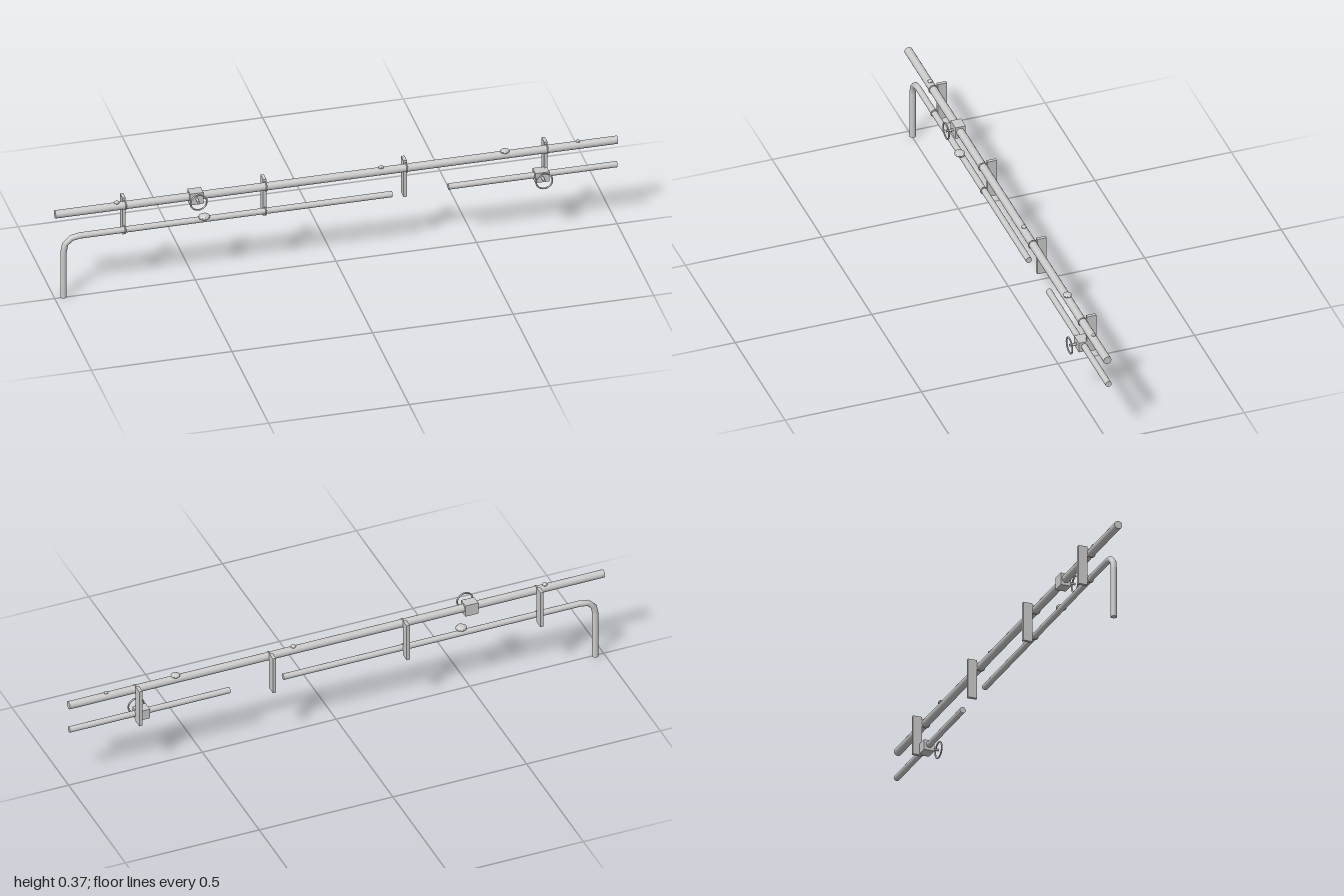
import * as THREE from 'three';

const metal = new THREE.MeshStandardMaterial({ color: 0xcccccc });
const lump = new THREE.MeshStandardMaterial({ color: 0xcccccc, flatShading: true });

const UPPER = { y: 0.337, z: 0.001, r: 0.0145 };
const LOWER = { y: 0.237, z: -0.003, r: 0.011 };

export function createModel() {
  const model = new THREE.Group();

  function add(parent, name, geometry, x, y, z, material = metal) {
    const mesh = new THREE.Mesh(geometry, material);
    mesh.name = name;
    mesh.position.set(x, y, z);
    parent.add(mesh);
    return mesh;
  }

  // Horizontal pipe run between two x positions
  function pipe(name, line, x0, x1) {
    const geometry = new THREE.CylinderGeometry(line.r, line.r, x1 - x0, 16).rotateZ(Math.PI / 2);
    add(model, name, geometry, (x0 + x1) / 2, line.y, line.z);
  }
  pipe('upperPipe', UPPER, -1, 1);
  pipe('lowerPipeLong', LOWER, -0.91, 0.2);
  pipe('lowerPipeShort', LOWER, 0.4, 1);

  // Faceted elbow and downpipe
  const dropX = -0.968, elbowY = 0.18;
  const bend = new THREE.QuadraticBezierCurve3(
    new THREE.Vector3(-0.91, LOWER.y, LOWER.z),
    new THREE.Vector3(dropX, LOWER.y, LOWER.z),
    new THREE.Vector3(dropX, elbowY, LOWER.z));
  add(model, 'elbow', new THREE.TubeGeometry(bend, 3, LOWER.r, 16), 0, 0, 0);
  add(model, 'downpipe', new THREE.CylinderGeometry(LOWER.r, LOWER.r, elbowY, 16),
    dropX, elbowY / 2, LOWER.z);

  // Wall brackets with a clamp ring around each pipe they carry
  for (const x of [-0.75, -0.25, 0.25, 0.75]) {
    const support = new THREE.Group();
    support.name = 'support';
    model.add(support);
    add(support, 'bracket', new THREE.BoxGeometry(0.012, 0.145, 0.0335), x, 0.2845, -0.0303);
    for (const line of x === 0.25 ? [UPPER] : [UPPER, LOWER]) {
      const ring = new THREE.TorusGeometry(line.r + 0.001, 0.0025, 8, 20).rotateY(Math.PI / 2);
      add(support, 'clamp', ring, x, line.y, line.z);
    }
  }

  // Valves: body, stem and handwheel facing the front
  function valve(name, x, line, size, wheelZ) {
    const group = new THREE.Group();
    group.name = name;
    group.position.set(x, line.y - 0.002, 0);
    model.add(group);
    add(group, 'valveBody', new THREE.BoxGeometry(...size), 0, 0, line.z);
    const stem = new THREE.CylinderGeometry(0.0045, 0.0045, wheelZ - line.z, 10).rotateX(Math.PI / 2);
    add(group, 'stem', stem, 0, 0, (wheelZ + line.z) / 2);
    add(group, 'handwheel', new THREE.TorusGeometry(0.029, 0.003, 8, 28), 0, 0, wheelZ);
  }
  valve('upperValve', -0.5, UPPER, [0.048, 0.045, 0.038], 0.045);
  valve('lowerValve', 0.73, LOWER, [0.05, 0.038, 0.039], 0.042);

  // Small flattened lumps lying on top of the pipes: x, y, z, radius, half height
  for (const [x, y, z, r, h] of [
    [-0.78, 0.352, 0.001, 0.01, 0.006],
    [0.16, 0.352, 0.001, 0.01, 0.006],
    [0.86, 0.352, 0.001, 0.008, 0.005],
    [0.6, 0.352, 0.002, 0.017, 0.008],
    [-0.47, 0.252, 0.006, 0.021, 0.011],
  ]) {
    add(model, 'lump', new THREE.IcosahedronGeometry(1, 1).scale(r, h, r * 0.92), x, y, z, lump);
  }

  return model;
}
